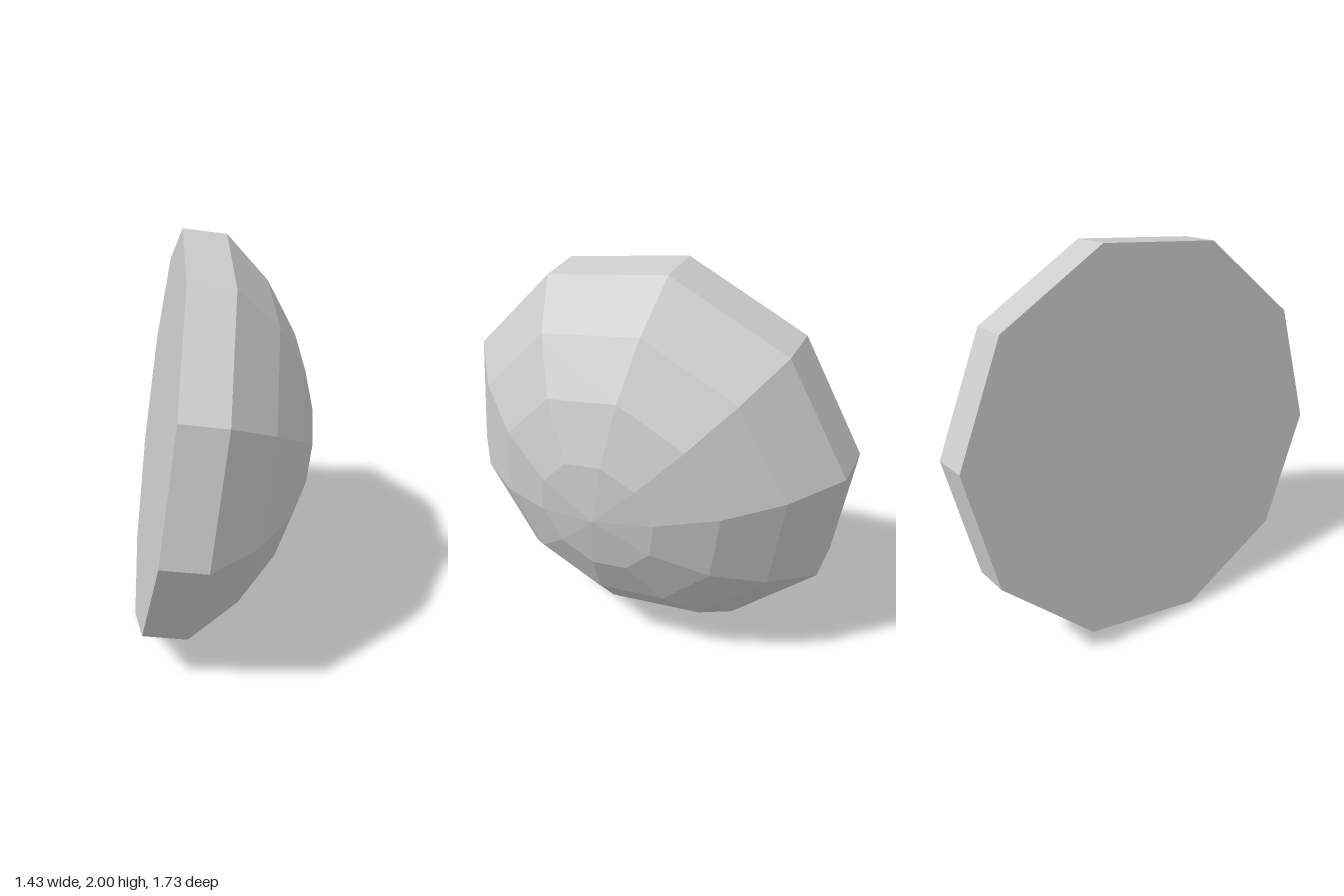
import * as THREE from 'three';

const SIDES = 10;
const RADIUS = 1.01;  // flat face and rim
const RIM = 0.214;    // rim thickness
const HEIGHT = 0.76;  // flat face to dome pole
const BANDS = 4;

export function createModel() {
  const group = new THREE.Group();
  group.name = 'facetedDome';
  const gray = new THREE.MeshStandardMaterial({ color: 0xcccccc, flatShading: true });
  gray.name = 'gray';

  const addLathe = (name, points) => {
    const profile = points.map(([r, y]) => new THREE.Vector2(r, y));
    const mesh = new THREE.Mesh(new THREE.LatheGeometry(profile, SIDES), gray);
    mesh.name = name;
    group.add(mesh);
  };

  // Flat ten-sided face and straight rim
  addLathe('flatFace', [[0, 0], [RADIUS, 0]]);
  addLathe('rim', [[RADIUS, 0], [RADIUS, RIM]]);

  // Dome: a spherical cap in equal angular bands
  const rise = HEIGHT - RIM;
  const sphere = (RADIUS * RADIUS + rise * rise) / (2 * rise);
  const spread = Math.asin(RADIUS / sphere);
  const cap = [];
  for (let i = BANDS; i >= 0; i--) {
    const a = (spread * i) / BANDS;
    cap.push([sphere * Math.sin(a), HEIGHT - sphere + sphere * Math.cos(a)]);
  }
  addLathe('dome', cap);

  // Tilt the whole solid: local y becomes the dome axis, local z points to the top corner
  const top = new THREE.Vector3(0, 0.976, -0.218).normalize();
  const axis = new THREE.Vector3(0.783, -0.136, -0.607);
  axis.addScaledVector(top, -axis.dot(top)).normalize();
  const side = new THREE.Vector3().crossVectors(axis, top);
  group.quaternion.setFromRotationMatrix(new THREE.Matrix4().makeBasis(side, axis, top));
  group.position.set(-0.118, 1.015, 0.064);

  const model = new THREE.Group();
  model.name = 'model';
  model.add(group);
  return model;
}
